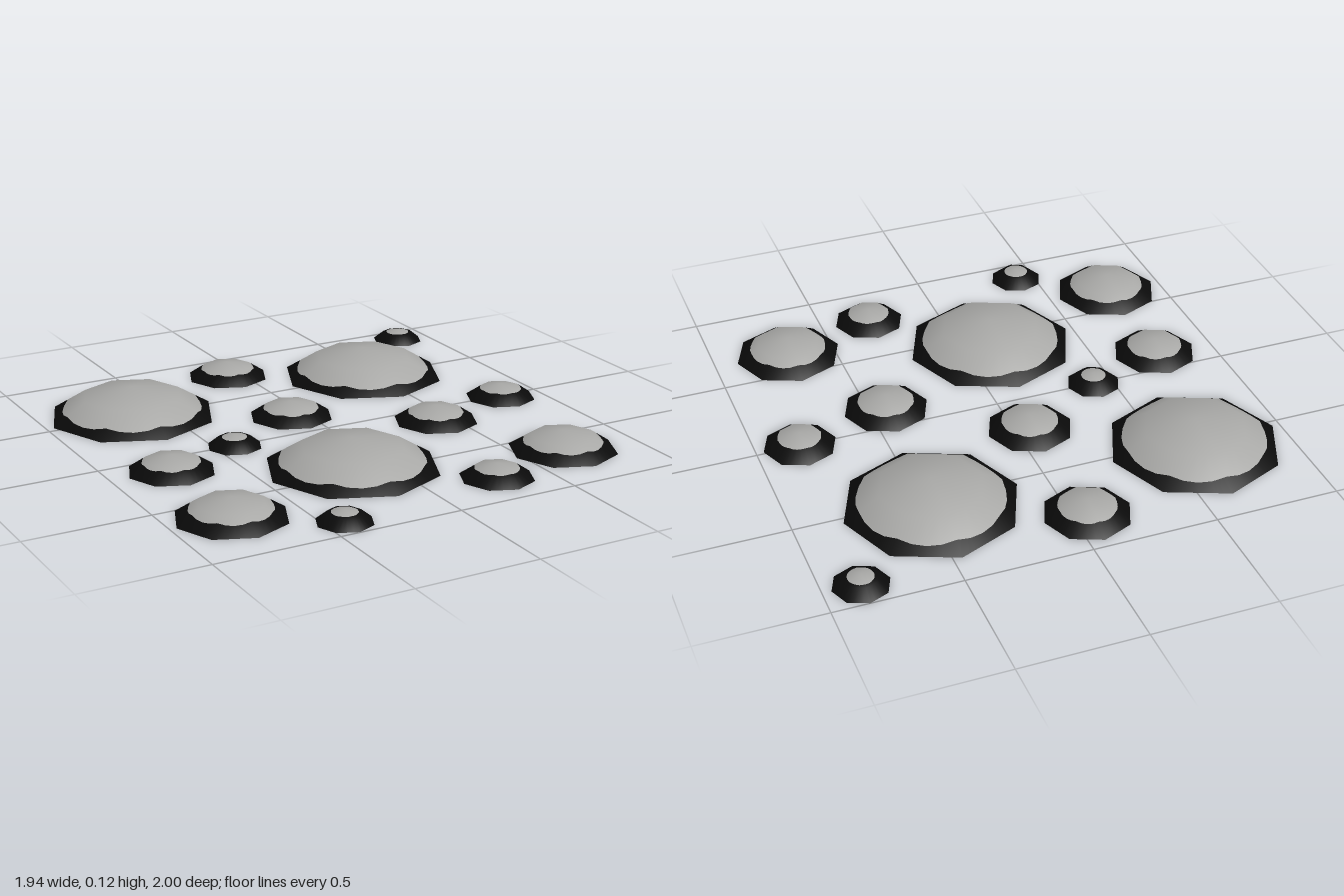
import * as THREE from 'three';

const SEGMENTS = 32; // four steps along each side of the octagon
const RIM = 0.06; // width of the dark band
const KNEE = 0.6, KNEE_HEIGHT = 0.71; // where the dome's slope changes

// Shallow octagonal dome, open below: group 0 is the pale cap, group 1 the dark rim
function domeGeometry(R, H) {
  const positions = [0, H, 0], normals = [0, 1, 0], index = [];
  const sphere = (R * R + H * H) / (2 * H);
  const rows = [
    { r: R - RIM },
    { t: KNEE },
    { t: 1 },
  ];
  // Small domes have the colour edge inside the knee
  const capIsOuter = R - RIM > R * KNEE * 0.97;
  if (capIsOuter) [rows[0], rows[1]] = [rows[1], rows[0]];

  for (const row of rows) {
    for (let i = 0; i < SEGMENTS; i++) {
      const a = (i / SEGMENTS) * Math.PI * 2;
      const off = (a % (Math.PI / 4)) - Math.PI / 8;
      const edge = R * Math.cos(Math.PI / 8) / Math.cos(off);
      const t = row.t ?? row.r / edge;
      const y = t < KNEE
        ? H * (1 - (1 - KNEE_HEIGHT) * t / KNEE)
        : H * KNEE_HEIGHT * (1 - t) / (1 - KNEE);
      const x = Math.cos(a) * edge * t, z = Math.sin(a) * edge * t;
      positions.push(x, y, z);
      const n = new THREE.Vector3(x, sphere - H + y, z).normalize();
      normals.push(n.x, n.y, n.z);
    }
  }

  const at = (row, i) => 1 + row * SEGMENTS + (i % SEGMENTS);
  for (let i = 0; i < SEGMENTS; i++) index.push(0, at(0, i + 1), at(0, i));
  let capEnd = index.length;
  for (let row = 0; row < 2; row++) {
    for (let i = 0; i < SEGMENTS; i++) {
      const a = at(row, i), b = at(row, i + 1), c = at(row + 1, i), d = at(row + 1, i + 1);
      index.push(a, b, d, a, d, c);
    }
    if (row === 0 && capIsOuter) capEnd = index.length;
  }

  const geometry = new THREE.BufferGeometry();
  geometry.setAttribute('position', new THREE.Float32BufferAttribute(positions, 3));
  geometry.setAttribute('normal', new THREE.Float32BufferAttribute(normals, 3));
  geometry.setIndex(index);
  geometry.addGroup(0, capEnd, 0);
  geometry.addGroup(capEnd, index.length - capEnd, 1);
  return geometry;
}

export function createModel() {
  const model = new THREE.Group();
  model.name = 'steppingStones';

  const stone = new THREE.MeshStandardMaterial({ color: 0xa8a8a6, side: THREE.DoubleSide });
  stone.name = 'stone grey';
  const rim = new THREE.MeshStandardMaterial({ color: 0x0a0a0a, side: THREE.DoubleSide });
  rim.name = 'rim black';

  // Stones by size: radius, height and [x, z] centres
  const sizes = [
    { name: 'hugeStone', R: 0.345, H: 0.122, at: [[-0.625, -0.53], [0.465, -0.53], [-0.128, 0.427]] },
    { name: 'largeStone', R: 0.217, H: 0.08, at: [[-0.757, 0.655], [0.69, 0.655]] },
    { name: 'mediumStone', R: 0.173, H: 0.066, at: [[-0.062, -0.79], [-0.062, -0.2], [-0.752, 0.13], [0.43, 0.13]] },
    { name: 'smallStone', R: 0.146, H: 0.058, at: [[0.824, 0.01], [0.295, 0.785]] },
    { name: 'tinyStone', R: 0.11, H: 0.05, at: [[0.855, -0.89], [-0.422, 0.005], [-0.422, 0.888]] },
  ];
  for (const { name, R, H, at } of sizes) {
    const geometry = domeGeometry(R, H);
    at.forEach(([x, z], i) => {
      const mesh = new THREE.Mesh(geometry, [stone, rim]);
      mesh.name = name + (i + 1);
      mesh.position.set(x, 0, z);
      model.add(mesh);
    });
  }
  return model;
}
